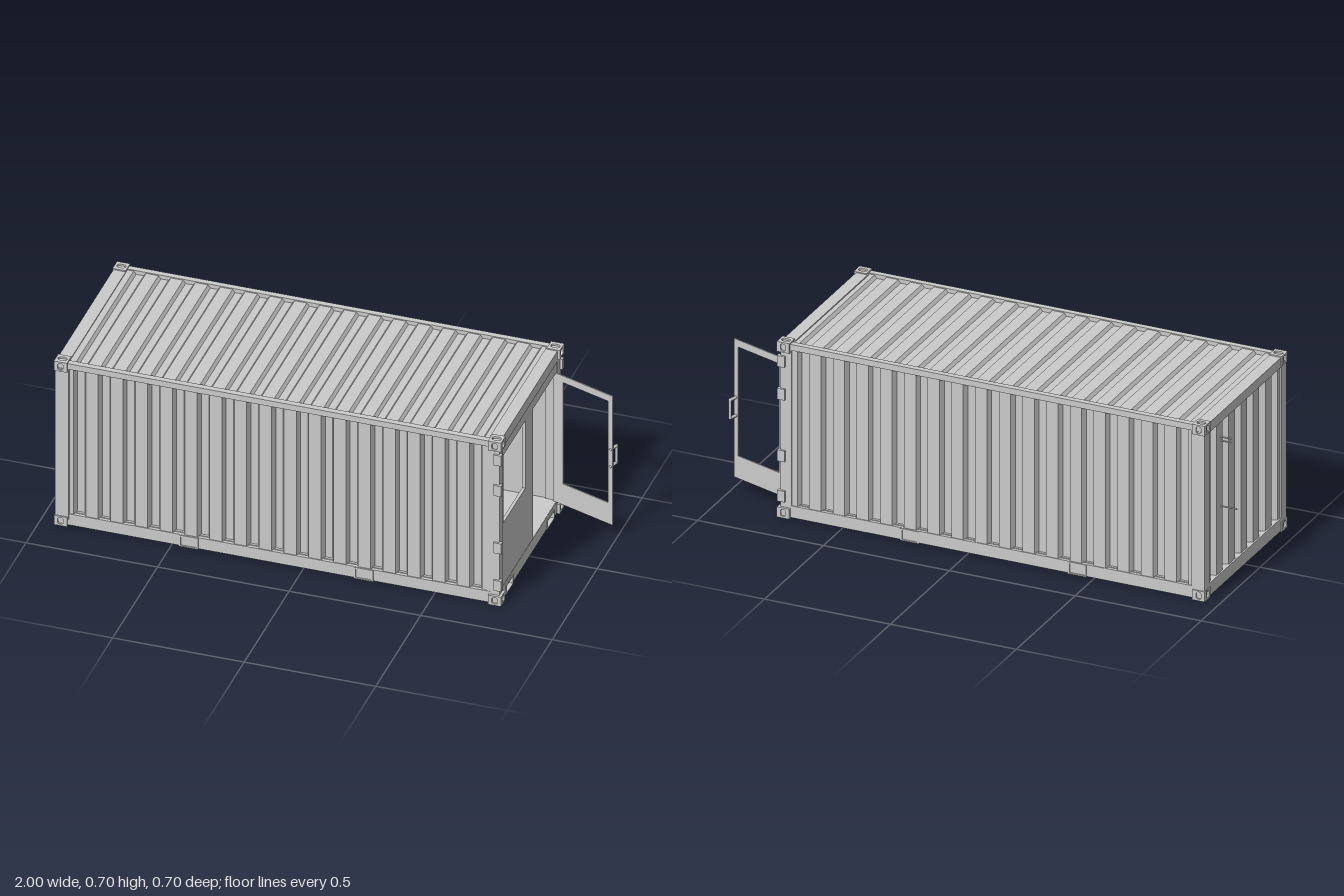
import * as THREE from 'three';

const MAT = new THREE.MeshStandardMaterial({ color: 0xcccccc, side: THREE.DoubleSide });

export function createModel() {
  const root = new THREE.Group();
  root.name = 'containerOffice';

  const add = (name, geo, pos = [0, 0, 0], parent = root) => {
    const m = new THREE.Mesh(geo, MAT);
    m.name = name;
    m.position.set(...pos);
    parent.add(m);
    return m;
  };
  // box given by its min and max on each axis
  const box = (name, x0, x1, y0, y1, z0, z1, parent) =>
    add(name, new THREE.BoxGeometry(x1 - x0, y1 - y0, z1 - z0),
      [(x0 + x1) / 2, (y0 + y1) / 2, (z0 + z1) / 2], parent);
  const rect = (P, a0, a1, b0, b1) => {
    const p = new P();
    p.moveTo(a0, b0).lineTo(a1, b0).lineTo(a1, b1).lineTo(a0, b1).closePath();
    return p;
  };
  // flat plate with rectangular or slotted holes, centred in its thickness
  const plate = (bounds, holes, t) => {
    const s = rect(THREE.Shape, ...bounds);
    s.holes = holes.map(h => Array.isArray(h) ? rect(THREE.Path, ...h) : h);
    return new THREE.ExtrudeGeometry(s, { depth: t, bevelEnabled: false, curveSegments: 8 }).translate(0, 0, -t / 2);
  };
  const slot = (w, h) => {
    const p = new THREE.Path(), r = w / 2, k = h / 2 - r;
    p.absarc(0, k, r, 0, Math.PI).absarc(0, -k, r, Math.PI, Math.PI * 2).closePath();
    return p;
  };
  // panel with trapezoid grooves on its +y face and a flat inner face
  const corrugated = (u0, u1, n, depth, thick, height) => {
    const s = new THREE.Shape(), p = (u1 - u0) / n, slope = p * 0.1;
    s.moveTo(u0, -thick).lineTo(u1, -thick).lineTo(u1, 0);
    for (let i = n - 1; i >= 0; i--) {
      const a = u0 + p * (i + 0.25), b = u0 + p * (i + 0.75);
      s.lineTo(b, 0).lineTo(b - slope, -depth).lineTo(a + slope, -depth).lineTo(a, 0);
    }
    s.lineTo(u0, 0).closePath();
    return new THREE.ExtrudeGeometry(s, { depth: height, bevelEnabled: false }).translate(0, 0, -height / 2);
  };
  const tube = (name, pts, r, parent) => {
    const path = new THREE.CurvePath();
    for (let i = 1; i < pts.length; i++)
      path.add(new THREE.LineCurve3(new THREE.Vector3(...pts[i - 1]), new THREE.Vector3(...pts[i])));
    for (const c of path.curves) add(name, new THREE.TubeGeometry(c, 1, r, 10), [0, 0, 0], parent);
    for (const p of pts) add(name + 'Joint', new THREE.SphereGeometry(r, 10, 8), p, parent);
  };

  // corrugated side walls, rear wall and roof
  for (const s of [-1, 1]) {
    const g = corrugated(-0.8, 0.8, 17, 0.02, 0.03, 0.63).rotateX(-Math.PI / 2);
    if (s > 0) g.rotateY(Math.PI);
    add('sideWall', g, [-0.098, 0.362, s * 0.34]);
  }
  add('rearWall', corrugated(-0.31, 0.31, 6, 0.028, 0.036, 0.63).rotateX(-Math.PI / 2).rotateY(Math.PI / 2), [-0.936, 0.362, 0]);
  add('roof', corrugated(-0.8, 0.8, 17, 0.012, 0.03, 0.65), [-0.095, 0.69, 0]);

  // floor and cross beams
  box('floor', -0.91, 0.74, 0.044, 0.055, -0.33, 0.33);
  for (let i = 0; i < 17; i++) {
    const x = -0.845 + i * 0.0935;
    box('crossBeam', x - 0.016, x + 0.016, 0.012, 0.044, -0.325, 0.325);
  }

  // frame rails and posts
  for (const s of [-1, 1]) {
    const span = (a, b) => s > 0 ? [a, b] : [-b, -a];
    box('topSideRail', -0.9, 0.71, 0.67, 0.694, ...span(0.322, 0.345));
    box('bottomSideRail', -0.9, 0.71, 0.005, 0.052, ...span(0.318, 0.343));
    box('rearPost', -0.942, -0.89, 0.03, 0.67, ...span(0.305, 0.347));
    box('frontPost', 0.7, 0.745, 0.03, 0.67, ...span(0.305, 0.342));
    // lifting pockets in the long rails
    for (const x of [-0.435, 0.23])
      add('sidePocket', plate([-0.037, 0.037, -0.024, 0.024], [[-0.03, 0.03, -0.019, 0.018]], 0.04), [x, 0.027, s * 0.327]);
    // hinge lugs on the door-end posts
    for (const y of [0.085, 0.245, 0.49, 0.62])
      box('hingeLug', 0.725, 0.755, y - 0.022, y + 0.022, ...span(0.333, 0.35));
  }
  box('rearSill', -0.942, -0.9, 0.005, 0.055, -0.31, 0.31);
  box('rearHeader', -0.942, -0.895, 0.655, 0.694, -0.31, 0.31);
  box('frontHeader', 0.7, 0.746, 0.65, 0.695, -0.31, 0.31);

  // front sill with fork pockets
  const pockets = [[0.195, 0.265, 0.005, 0.035], [-0.265, -0.195, 0.005, 0.035]];
  add('frontSill', plate([-0.31, 0.31, 0.003, 0.055], pockets, 0.02).rotateY(-Math.PI / 2), [0.734, 0, 0]);
  for (const [a, b, c, d] of pockets)
    add('forkPocket', plate([a - 0.004, b + 0.004, c - 0.004, d + 0.004], [[a, b, c, d]], 0.06).rotateY(-Math.PI / 2), [0.717, 0, 0]);

  // end wall with window and doorway openings
  add('endWall', plate([-0.335, 0.335, 0.054, 0.65],
    [[0.046, 0.29, 0.32, 0.608], [-0.295, -0.038, 0.056, 0.606]], 0.012).rotateY(-Math.PI / 2), [0.737, 0, 0]);

  // corner castings: a core covered by three slotted plates
  const t = 0.007, W = 0.05, H = 0.04;
  for (const sx of [-1, 1]) for (const sy of [-1, 1]) for (const sz of [-1, 1]) {
    const c = new THREE.Group();
    c.name = 'cornerCasting';
    c.position.set(sx > 0 ? 0.73 : -0.92, sy > 0 ? 0.679 : 0.021, sz * 0.327);
    root.add(c);
    add('castingCore', new THREE.BoxGeometry(W - t, H - t, W - t), [-sx * t / 2, -sy * t / 2, -sz * t / 2], c);
    const side = () => plate([-W / 2, W / 2, -H / 2, H / 2], [slot(0.021, 0.03)], t);
    add('castingEnd', side().rotateY(Math.PI / 2), [sx * (W - t) / 2, 0, 0], c);
    add('castingSide', side(), [0, 0, sz * (W - t) / 2], c);
    add('castingCap', plate([-W / 2, W / 2, -W / 2, W / 2], [slot(0.022, 0.034)], t)
      .rotateX(Math.PI / 2).rotateY(Math.PI / 2), [0, sy * (H - t) / 2, 0], c);
  }

  // open door: local x runs from hinge to free edge, local +z is the inner side
  const door = new THREE.Group();
  door.name = 'door';
  door.position.set(0.745, 0, -0.295);
  door.rotation.y = -Math.atan2(0.082, 0.243);
  root.add(door);
  add('doorLeaf', plate([0, 0.256, 0.056, 0.606], [[0.032, 0.235, 0.145, 0.578]], 0.005), [0, 0, 0], door);
  tube('doorHandle', [[0.246, 0.303, 0], [0.246, 0.303, -0.034], [0.246, 0.375, -0.034], [0.246, 0.375, 0]], 0.006, door);

  // air conditioner on the rear wall inside
  const ac = new THREE.Shape();
  ac.moveTo(0, 0.54).lineTo(0.025, 0.54).quadraticCurveTo(0.07, 0.545, 0.07, 0.61).lineTo(0.066, 0.63).lineTo(0, 0.63).closePath();
  add('airConditioner', new THREE.ExtrudeGeometry(ac, { depth: 0.28, bevelEnabled: false, curveSegments: 16 }), [-0.9, 0, -0.145]);

  // pipes, conduit and junction box
  for (const y of [0.59, 0.575])
    tube('coolantPipe', [[-0.885, y, -0.14], [-0.885, y, -0.195], [-0.975, y, -0.195]], 0.003);
  tube('drainPipe', [[-0.885, 0.555, -0.14], [-0.885, 0.555, -0.193], [-0.885, 0.33, -0.193]], 0.003);
  tube('conduit', [[-0.893, 0.314, -0.28], [-0.893, 0.314, 0.28]], 0.0035);
  box('junctionBox', -0.9, -0.875, 0.295, 0.335, -0.21, -0.175);
  tube('outletPipe', [[-0.88, 0.315, -0.195], [-0.998, 0.315, -0.195]], 0.003);
  for (const z of [-0.295, 0.295]) box('wallSocket', -0.9, -0.88, 0.302, 0.332, z - 0.014, z + 0.014);

  return root;
}
